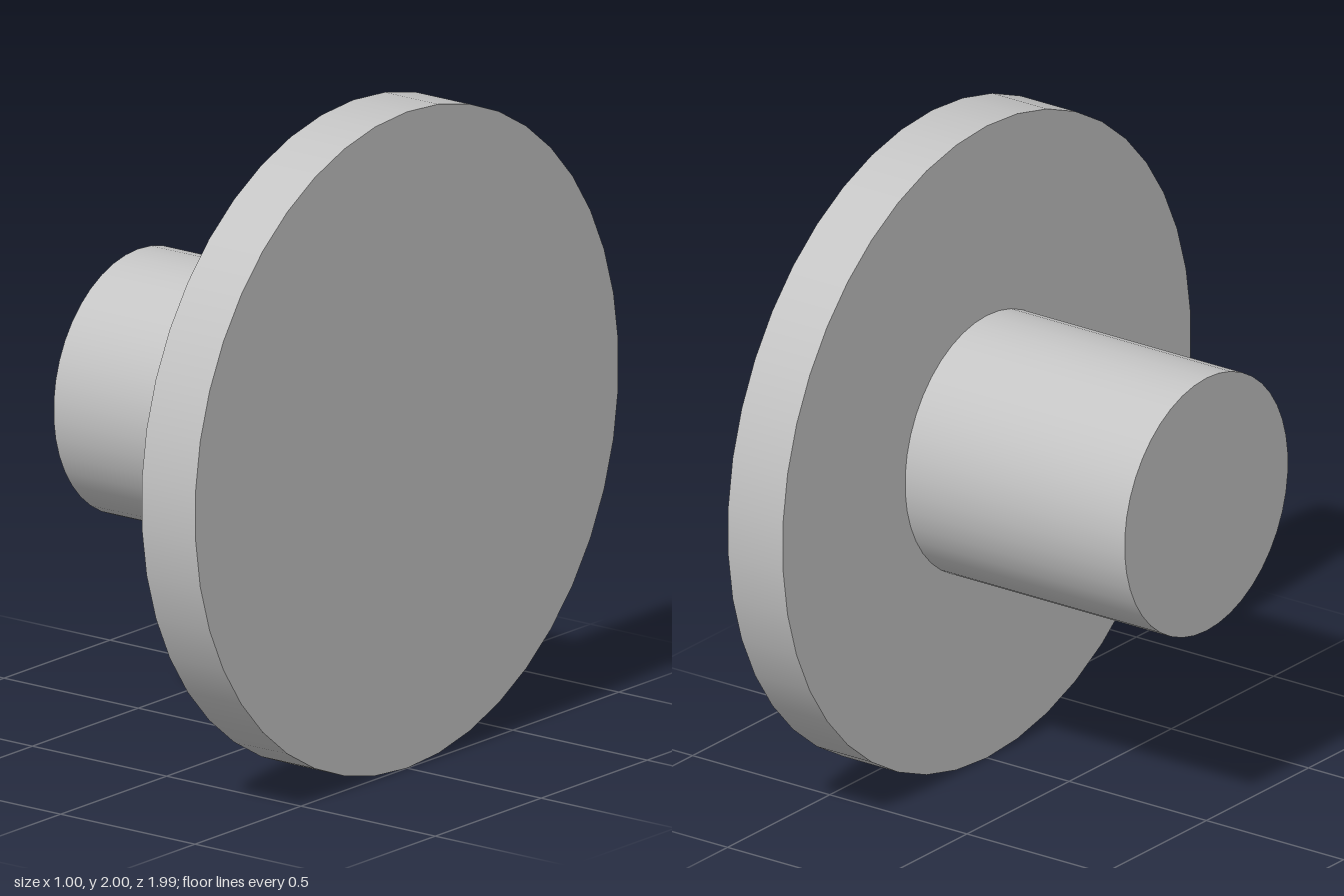
import * as THREE from 'three';

const SIDES = 42;

export function createModel() {
  const model = new THREE.Group();
  model.name = 'flangedPin';

  const grey = new THREE.MeshStandardMaterial({ color: 0xc4c4c4 });
  grey.name = 'plain grey';

  // Round part lying along x, from x0 to x1, with a corner at its top
  const addRound = (name, radius, x0, x1) => {
    const geometry = new THREE.CylinderGeometry(radius, radius, x1 - x0, SIDES, 1, false, Math.PI / 2);
    geometry.rotateZ(-Math.PI / 2);
    const mesh = new THREE.Mesh(geometry, grey);
    mesh.name = name;
    mesh.position.set((x0 + x1) / 2, 1, 0);
    model.add(mesh);
  };

  addRound('disc', 1, 0.3, 0.5);
  addRound('stem', 0.4, -0.5, 0.3);

  return model;
}
